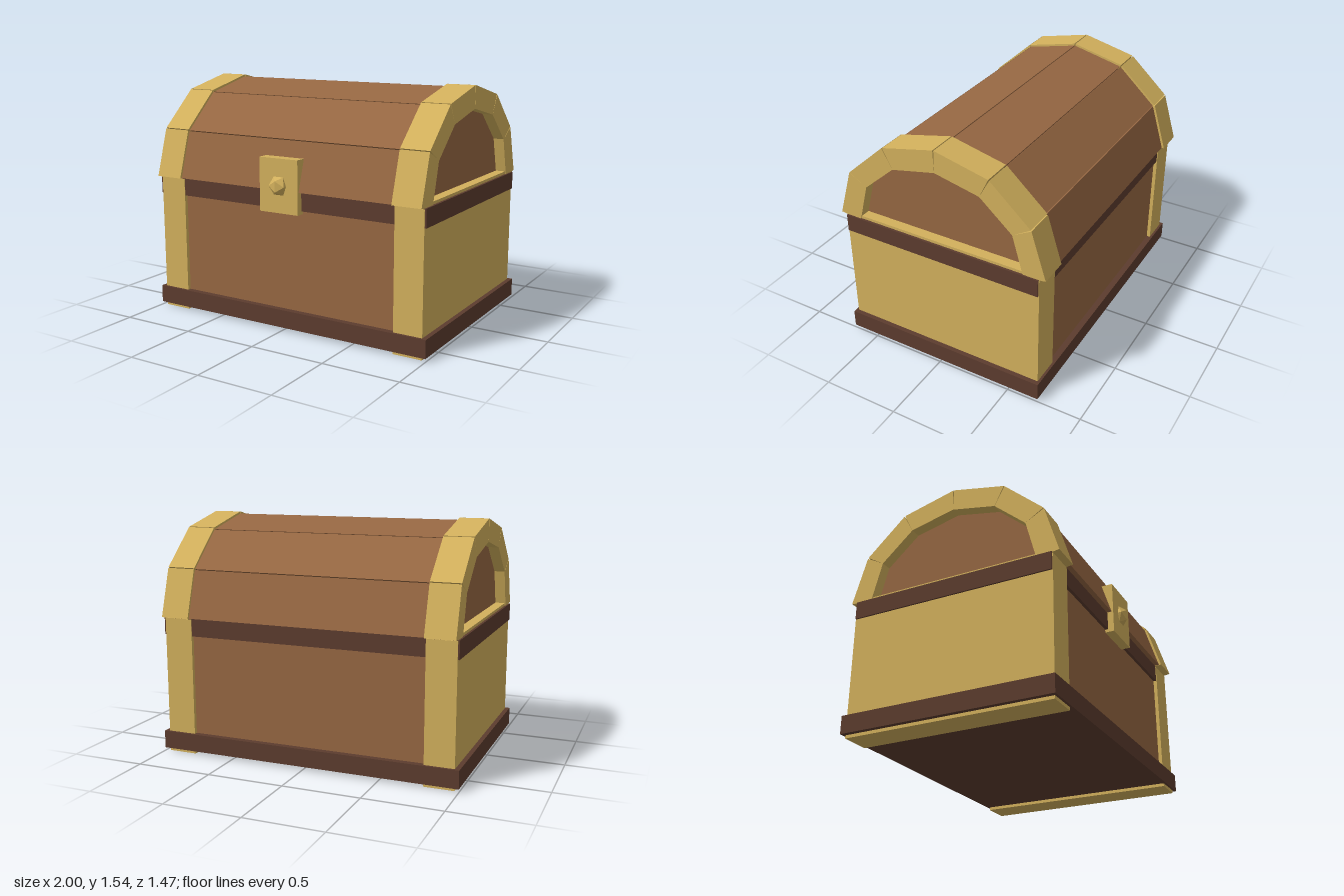
import * as THREE from 'three';

const gold = new THREE.MeshStandardMaterial({ color: 0xd2b05c, flatShading: true });
gold.name = 'gold';
const wood = new THREE.MeshStandardMaterial({ color: 0x966742, flatShading: true });
wood.name = 'wood';
const darkWood = new THREE.MeshStandardMaterial({ color: 0x5c3c2e, flatShading: true });
darkWood.name = 'darkWood';

const CZ = -0.015; // depth centre of the chest body
const LID_Y = 0.9; // height where the lid starts

// Arch outlines as [offset from centre, height above the lid base]
const mirrorArch = (half) => [...half, ...half.slice(0, -1).reverse().map(([z, y]) => [-z, y])];
const outerArch = mirrorArch([[0.72, 0.005], [0.625, 0.315], [0.36, 0.556], [0, 0.64]]);
const innerArch = mirrorArch([[0.575, -0.012], [0.505, 0.245], [0.295, 0.43], [0, 0.495]]);
const scaled = (pts, s) => pts.map(([z, y]) => [z * s, y * s]);

function box(name, mat, x0, x1, y0, y1, z0, z1) {
  const mesh = new THREE.Mesh(new THREE.BoxGeometry(x1 - x0, y1 - y0, z1 - z0), mat);
  mesh.position.set((x0 + x1) / 2, (y0 + y1) / 2, (z0 + z1) / 2);
  mesh.name = name;
  return mesh;
}

// Extrudes a z/y outline sideways, centred on x
function crossPrism(name, mat, pts, width, x) {
  const shape = new THREE.Shape(pts.map(([z, y]) => new THREE.Vector2(z, y)));
  const geo = new THREE.ExtrudeGeometry(shape, { depth: width, bevelEnabled: false });
  geo.translate(0, 0, -width / 2);
  geo.rotateY(-Math.PI / 2);
  const mesh = new THREE.Mesh(geo, mat);
  mesh.position.set(x, LID_Y, CZ);
  mesh.name = name;
  return mesh;
}

// Row of flat staves following an arch, with a hairline gap at each joint
function staves(name, mat, outer, inner, width, x) {
  const group = new THREE.Group();
  group.name = name;
  const mix = (a, b, t) => [a[0] + (b[0] - a[0]) * t, a[1] + (b[1] - a[1]) * t];
  const last = outer.length - 2;
  for (let i = 0; i <= last; i++) {
    const t0 = i === 0 ? 0 : 0.01;
    const t1 = i === last ? 1 : 0.99;
    group.add(crossPrism('stave', mat, [
      mix(outer[i], outer[i + 1], t0), mix(outer[i], outer[i + 1], t1),
      mix(inner[i], inner[i + 1], 1), mix(inner[i], inner[i + 1], 0),
    ], width, x));
  }
  return group;
}

export function createModel() {
  const chest = new THREE.Group();
  chest.name = 'treasureChest';

  // Body, base and rim
  chest.add(box('body', wood, -0.79, 0.79, 0.03, 0.89, CZ - 0.655, CZ + 0.655));
  chest.add(box('base', darkWood, -1, 1, 0.02, 0.135, CZ - 0.695, CZ + 0.695));
  chest.add(box('rim', darkWood, -0.98, 0.98, 0.785, 0.9, CZ - 0.675, CZ + 0.675));

  // Lid: inner core that closes the ends, covered with wooden staves
  chest.add(crossPrism('lidCore', wood, scaled(outerArch, 0.94), 1.8, 0));
  chest.add(staves('lidPlanks', wood, scaled(outerArch, 0.978), scaled(outerArch, 0.88), 1.57, 0));

  // Gold end bands on the body and the lid
  for (const side of [-1, 1]) {
    const band = box('bodyBand', gold, -0.095, 0.095, 0, 0.895, CZ - 0.679, CZ + 0.679);
    band.position.x = side * 0.875;
    chest.add(band);
    chest.add(staves('lidBand', gold, outerArch, innerArch, 0.19, side * 0.875));
    const sill = box('lidSill', gold, -0.09, 0.09, 0.895, 0.918, CZ - 0.57, CZ + 0.57);
    sill.position.x = side * 0.875;
    chest.add(sill);
  }

  // Lock plate with a faceted knob
  chest.add(box('lockPlate', gold, -0.14, 0.14, 0.765, 1.105, 0.625, 0.7));
  const knob = new THREE.Mesh(new THREE.IcosahedronGeometry(0.066, 0), gold);
  knob.scale.z = 0.7;
  knob.position.set(0, 0.935, 0.7);
  knob.name = 'lockKnob';
  chest.add(knob);

  return chest;
}
